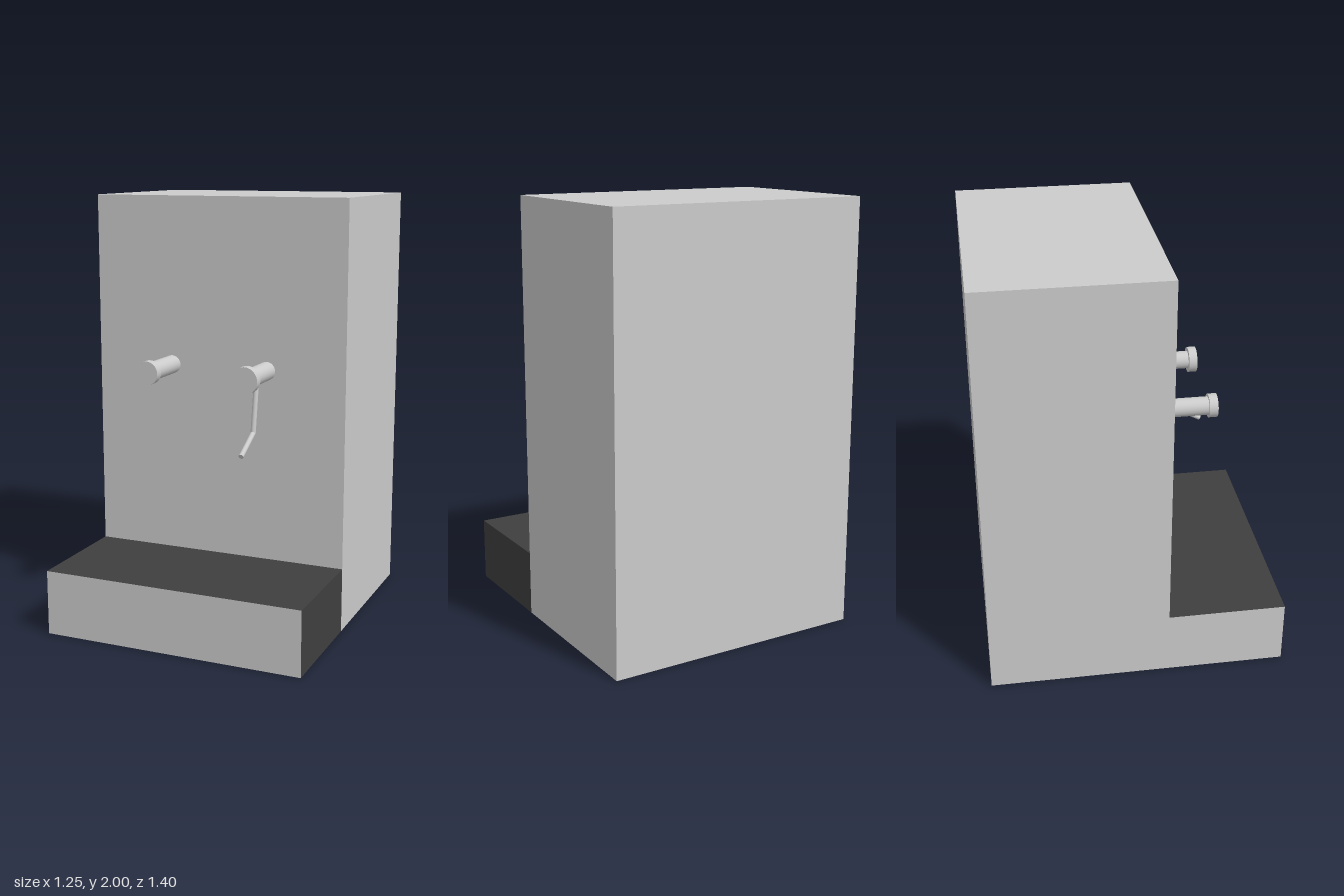
import * as THREE from 'three';

const grey = new THREE.MeshStandardMaterial({ color: 0xcccccc });
const dark = new THREE.MeshStandardMaterial({ color: 0x3f3f3f });

const WIDTH = 1.245, BACK = -0.7, WALL = 0.145, FRONT = 0.7;

function add(parent, name, geometry, material = grey) {
  const mesh = new THREE.Mesh(geometry, material);
  mesh.name = name;
  parent.add(mesh);
  return mesh;
}

// Box standing on the ground between two depths
function block(parent, name, height, z0, z1, material) {
  const mesh = add(parent, name, new THREE.BoxGeometry(WIDTH, height, z1 - z0), material);
  mesh.position.set(0, height / 2, (z0 + z1) / 2);
}

// Round bar from point a to point b
function rod(parent, name, a, b, radius, segments = 32) {
  const dir = b.clone().sub(a);
  const mesh = add(parent, name, new THREE.CylinderGeometry(radius, radius, dir.length(), segments));
  mesh.position.copy(a).lerp(b, 0.5);
  mesh.quaternion.setFromUnitVectors(new THREE.Vector3(0, 1, 0), dir.normalize());
}

// Peg projecting from the wall, with a wider end cap
function peg(parent, name, x, capRadius) {
  const group = new THREE.Group();
  group.name = name;
  group.position.set(x, 1.21, 0);
  const at = (z) => new THREE.Vector3(0, 0, z);
  rod(group, 'shaft', at(WALL), at(0.376), 0.043);
  rod(group, 'endCap', at(0.375), at(0.415), capRadius);
  parent.add(group);
  return group;
}

export function createModel() {
  const model = new THREE.Group();
  model.name = 'cabinetWithPegs';

  // Tall body and low step; the step has a dark top and left side
  block(model, 'body', 2, BACK, WALL, grey);
  block(model, 'step', 0.305, WALL, FRONT, [dark, grey, dark, grey, grey, grey]);

  // Two pegs, the left one carrying a bent lever
  peg(model, 'rightPeg', -0.24, 0.055);
  const leftPeg = peg(model, 'leftPeg', 0.24, 0.062);

  const lever = new THREE.Group();
  lever.name = 'lever';
  const top = new THREE.Vector3(0, -0.03, 0.268);
  const elbow = new THREE.Vector3(0, -0.258, 0.305);
  const tip = new THREE.Vector3(0, -0.335, 0.448);
  rod(lever, 'leverArm', top, elbow, 0.012, 16);
  rod(lever, 'leverHandle', elbow, tip, 0.012, 16);
  add(lever, 'leverElbow', new THREE.SphereGeometry(0.012, 16, 12)).position.copy(elbow);
  leftPeg.add(lever);

  return model;
}
